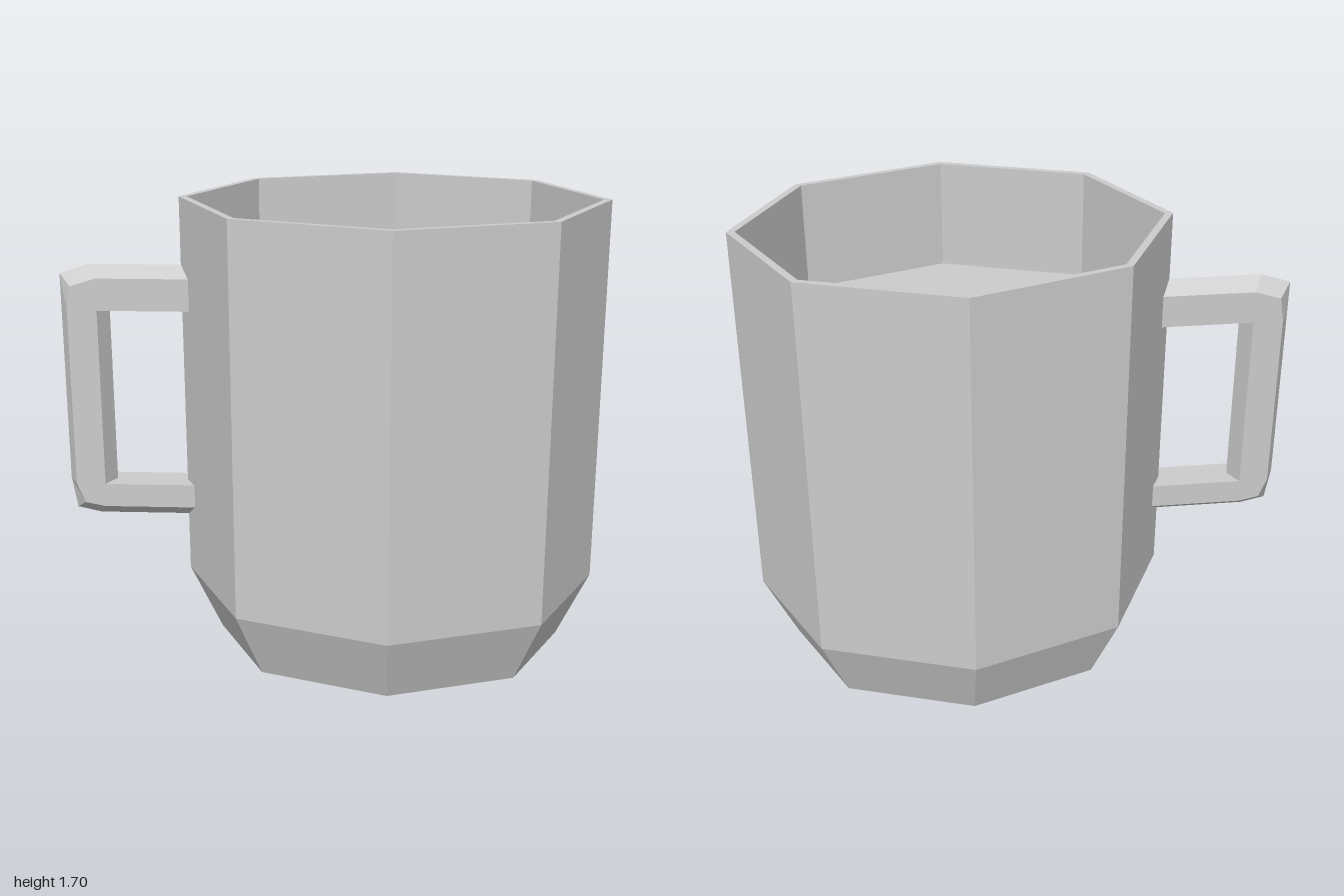
import * as THREE from 'three';

const SIDES = 8;
const CENTRE_X = 0.225, RADIUS_X = 0.775, RADIUS_Z = 0.64;
const DRINK_Y = 1.29, INNER = 0.962;

const material = new THREE.MeshStandardMaterial({ color: 0xcccccc, flatShading: true });

function part(name, geometry) {
  const mesh = new THREE.Mesh(geometry, material);
  mesh.name = name;
  return mesh;
}

// Unit-radius octagonal lathe, stretched into the oval plan of the mug
function ovalLathe(profile) {
  const points = profile.map(([r, y]) => new THREE.Vector2(r, y));
  const geometry = new THREE.LatheGeometry(points, SIDES);
  geometry.scale(RADIUS_X, 1, RADIUS_Z);
  geometry.translate(CENTRE_X, 0, 0);
  return geometry;
}

// Handle: six-sided sections swept around a C, with a ridge along the outside
function handleGeometry() {
  const half = 0.068;
  // Each row: inner middle x, inner side x, inner y, outer side x, y, ridge x, y
  const rows = [
    [-0.51, -0.51, 1.29, -0.51, 1.41, -0.51, 1.45],
    [-0.82, -0.855, 1.29, -0.855, 1.41, -0.89, 1.45],
    [-0.82, -0.855, 1.29, -0.95, 1.38, -1, 1.415],
    [-0.82, -0.855, 1.29, -0.965, 1.29, -1, 1.29],
    [-0.82, -0.855, 0.615, -0.965, 0.615, -1, 0.615],
    [-0.82, -0.855, 0.615, -0.935, 0.54, -0.98, 0.495],
    [-0.82, -0.855, 0.615, -0.86, 0.525, -0.89, 0.475],
    [-0.51, -0.51, 0.615, -0.51, 0.525, -0.51, 0.475],
  ];
  const positions = [], index = [], n = 6;
  for (const [mx, ix, iy, ox, oy, rx, ry] of rows) {
    positions.push(
      mx, iy, 0, ix, iy, half, ox, oy, half,
      rx, ry, 0, ox, oy, -half, ix, iy, -half);
  }
  for (let r = 0; r < rows.length - 1; r++) {
    for (let i = 0; i < n; i++) {
      const a = r * n + i, b = r * n + (i + 1) % n;
      index.push(a, b, a + n, b, b + n, a + n);
    }
  }
  // End caps where the handle meets the wall
  const last = (rows.length - 1) * n;
  for (let i = 1; i < n - 1; i++) {
    index.push(0, i + 1, i, last, last + i, last + i + 1);
  }
  const geometry = new THREE.BufferGeometry();
  geometry.setAttribute('position', new THREE.Float32BufferAttribute(positions, 3));
  geometry.setIndex(index);
  geometry.computeVertexNormals();
  return geometry;
}

export function createModel() {
  const mug = new THREE.Group();
  mug.name = 'mug';

  // Base, tapered foot, straight wall, thin rim and inner wall
  mug.add(part('cup', ovalLathe([
    [0, 0], [0.845, 0], [1, 0.25], [1, 1.7], [INNER, 1.7], [INNER, DRINK_Y],
  ])));

  // Level surface filling the inside
  mug.add(part('drinkSurface', ovalLathe([[INNER, DRINK_Y], [0, DRINK_Y]])));

  mug.add(part('handle', handleGeometry()));
  return mug;
}
